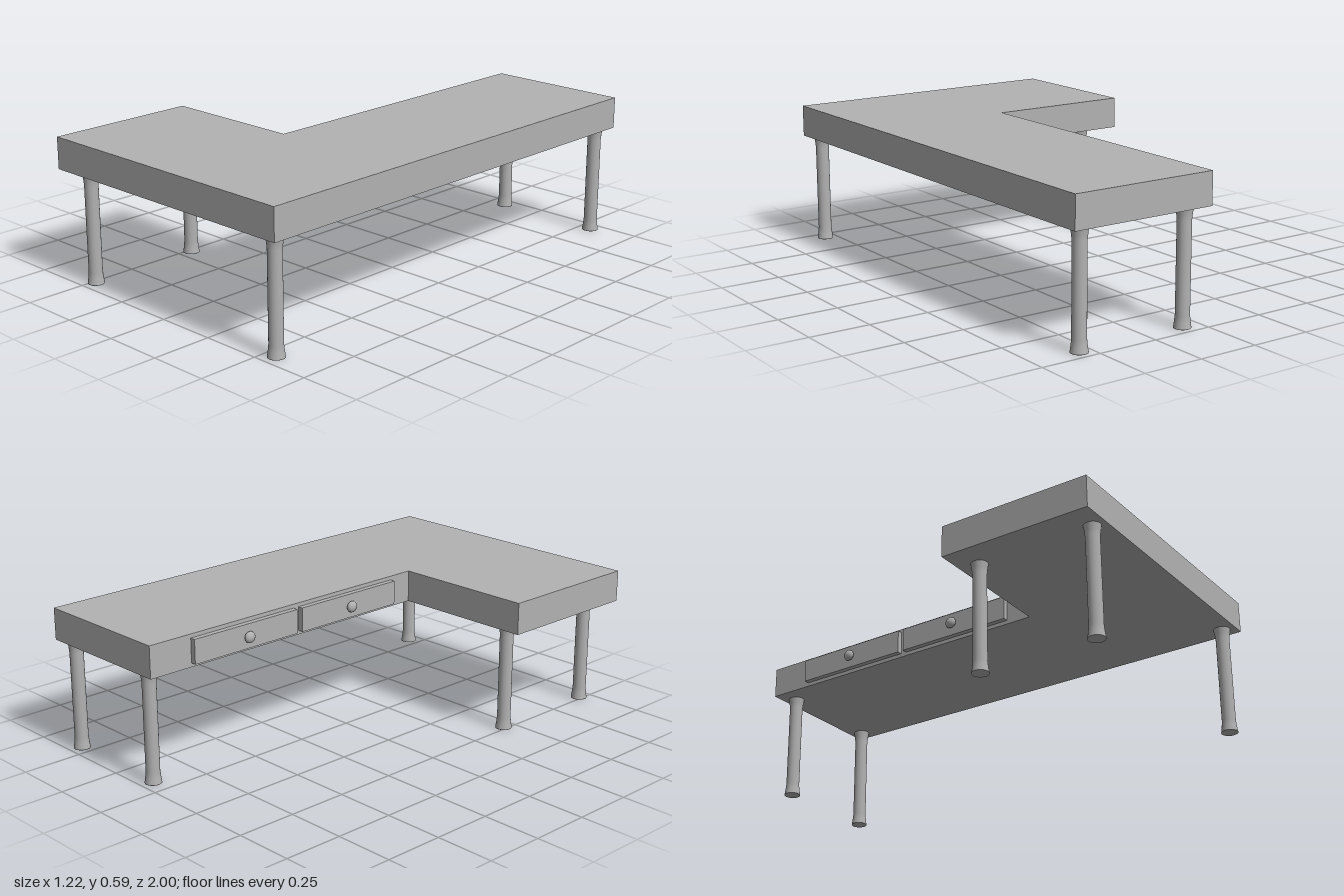
import * as THREE from 'three';

export function createModel() {
  const desk = new THREE.Group();
  desk.name = 'cornerDesk';
  const grey = new THREE.MeshStandardMaterial({ color: 0xb2b2b2 });
  grey.name = 'plain grey';

  const add = (name, geometry, x, y, z) => {
    const mesh = new THREE.Mesh(geometry, grey);
    mesh.name = name;
    mesh.position.set(x, y, z);
    desk.add(mesh);
    return mesh;
  };

  // L-shaped slab, drawn in plan with shape y = -z and extruded upwards
  const plan = new THREE.Shape([
    [-0.612, -1], [0.612, -1], [0.612, 1], [-0.004, 1], [-0.004, -0.36], [-0.612, -0.36],
  ].map(([x, y]) => new THREE.Vector2(x, y)));
  const slab = new THREE.ExtrudeGeometry(plan, { depth: 0.132, bevelEnabled: false });
  slab.rotateX(-Math.PI / 2);
  add('desktop', slab, 0, 0.459, 0);

  // Round legs flaring at both ends
  const legProfile = [
    [0, 0], [0.034, 0], [0.034, 0.001], [0.0305, 0.025], [0.028, 0.05],
    [0.028, 0.41], [0.0305, 0.435], [0.034, 0.459],
  ].map(([r, y]) => new THREE.Vector2(r, y));
  const legGeometry = new THREE.LatheGeometry(legProfile, 32);
  const legSpots = [[-0.483, 0.943], [-0.483, 0.445], [0.553, 0.943], [0.553, -0.946], [0.081, -0.946]];
  for (const [x, z] of legSpots) add('leg', legGeometry, x, 0, z);

  // Knob: short neck and rounded head, turned to point along -x
  const knobProfile = [
    [0.010, 0], [0.013, 0.003], [0.021, 0.008], [0.024, 0.014],
    [0.022, 0.021], [0.016, 0.026], [0.008, 0.029], [0, 0.03],
  ].map(([r, y]) => new THREE.Vector2(r, y));
  const knobGeometry = new THREE.LatheGeometry(knobProfile, 24);
  knobGeometry.rotateZ(Math.PI / 2);

  // Two drawer fronts on the inner edge, each with a knob
  for (const z of [-0.549, -0.006]) {
    add('drawerFront', new THREE.BoxGeometry(0.024, 0.1, 0.517), -0.015, 0.525, z);
    add('drawerKnob', knobGeometry, -0.026, 0.525, z);
  }
  return desk;
}
